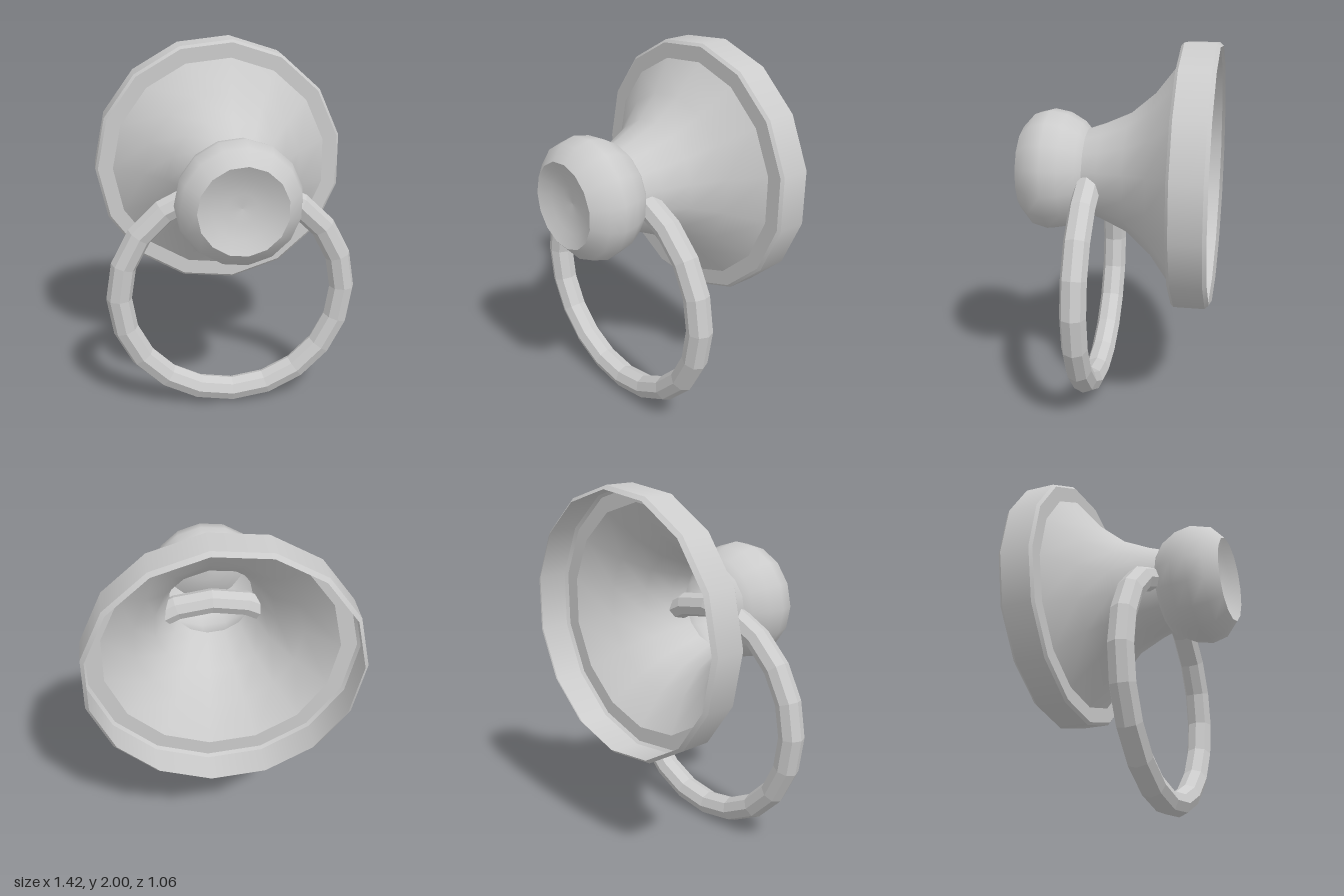
import * as THREE from 'three';

const AXIS_Y = 1.28;

export function createModel() {
  const model = new THREE.Group();
  const smooth = new THREE.MeshStandardMaterial({ color: 0xcccccc, side: THREE.DoubleSide });
  const faceted = new THREE.MeshStandardMaterial({ color: 0xcccccc, flatShading: true });

  // One smooth band turned about the z axis; separate bands meet at sharp edges.
  // Profile points are [radius, z], running from back to front.
  function turned(name, profile) {
    const points = profile.map(([r, z]) => new THREE.Vector2(r, z));
    const geometry = new THREE.LatheGeometry(points, 15, -Math.PI / 2);
    geometry.rotateX(Math.PI / 2);
    const mesh = new THREE.Mesh(geometry, smooth);
    mesh.name = name;
    mesh.position.y = AXIS_Y;
    model.add(mesh);
  }

  // Hollow back plate, open towards the wall
  turned('plateBackBevel', [[0.7, -0.53], [0.72, -0.51]]);
  turned('plateRim', [[0.72, -0.51], [0.72, -0.345]]);
  turned('plateFrontBevel', [[0.72, -0.345], [0.705, -0.33]]);
  turned('plateFace', [[0.705, -0.33], [0.62, -0.33]]);

  // Flared neck
  turned('neck', [[0.62, -0.33], [0.45, -0.2], [0.33, -0.06], [0.265, 0.085], [0.235, 0.17]]);

  // Rounded knob with a shallow dished end
  turned('knob', [[0.235, 0.17], [0.27, 0.2], [0.318, 0.285], [0.335, 0.375], [0.312, 0.46], [0.235, 0.53]]);
  turned('knobDish', [[0.235, 0.53], [0.16, 0.495], [0.08, 0.477], [0, 0.47]]);

  // Pull ring hanging through the neck
  const ring = new THREE.Mesh(new THREE.TorusGeometry(0.625, 0.07, 8, 20), faceted);
  ring.name = 'pullRing';
  ring.scale.y = 0.975;
  ring.position.set(0, 0.678, 0.137);
  model.add(ring);

  return model;
}
